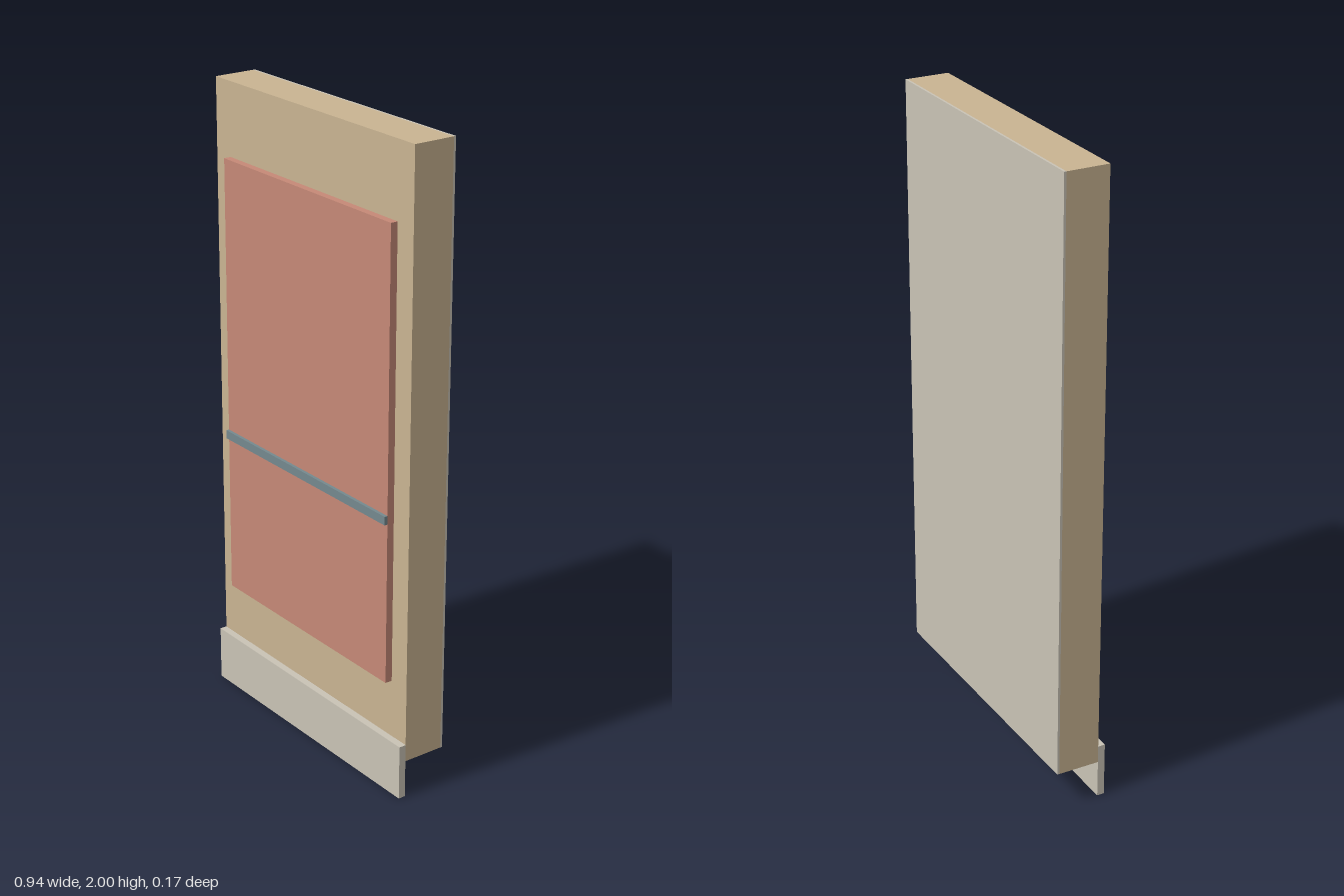
import * as THREE from 'three';

const material = (name, color) => {
  const m = new THREE.MeshStandardMaterial({ color });
  m.name = name;
  return m;
};

export function createModel() {
  const wood = material('tan wood', 0xc9b492);
  const pale = material('pale grey', 0xc9c3b5);
  const red = material('dusty red', 0xc68977);
  const steel = material('blue grey', 0x75898e);

  const model = new THREE.Group();
  model.name = 'panelCabinet';

  // Box given by its half width and its y and z extents
  const addBox = (name, mat, halfWidth, y0, y1, z0, z1) => {
    const mesh = new THREE.Mesh(new THREE.BoxGeometry(2 * halfWidth, y1 - y0, z1 - z0), mat);
    mesh.position.set(0, (y0 + y1) / 2, (z0 + z1) / 2);
    mesh.name = name;
    model.add(mesh);
  };

  // Main slab with its thin rear sheet
  addBox('body', wood, 0.47, 0.12, 2, -0.08, 0.053);
  addBox('backPanel', pale, 0.47, 0.12, 2, -0.087, -0.08);

  // Skirting board hanging below the front edge
  addBox('baseboard', pale, 0.47, 0, 0.175, 0.053, 0.076);

  // Raised front panel and the rail across it
  addBox('frontPanel', red, 0.4, 0.36, 1.77, 0.053, 0.076);
  addBox('rail', steel, 0.4, 0.873, 0.9, 0.076, 0.086);

  return model;
}
